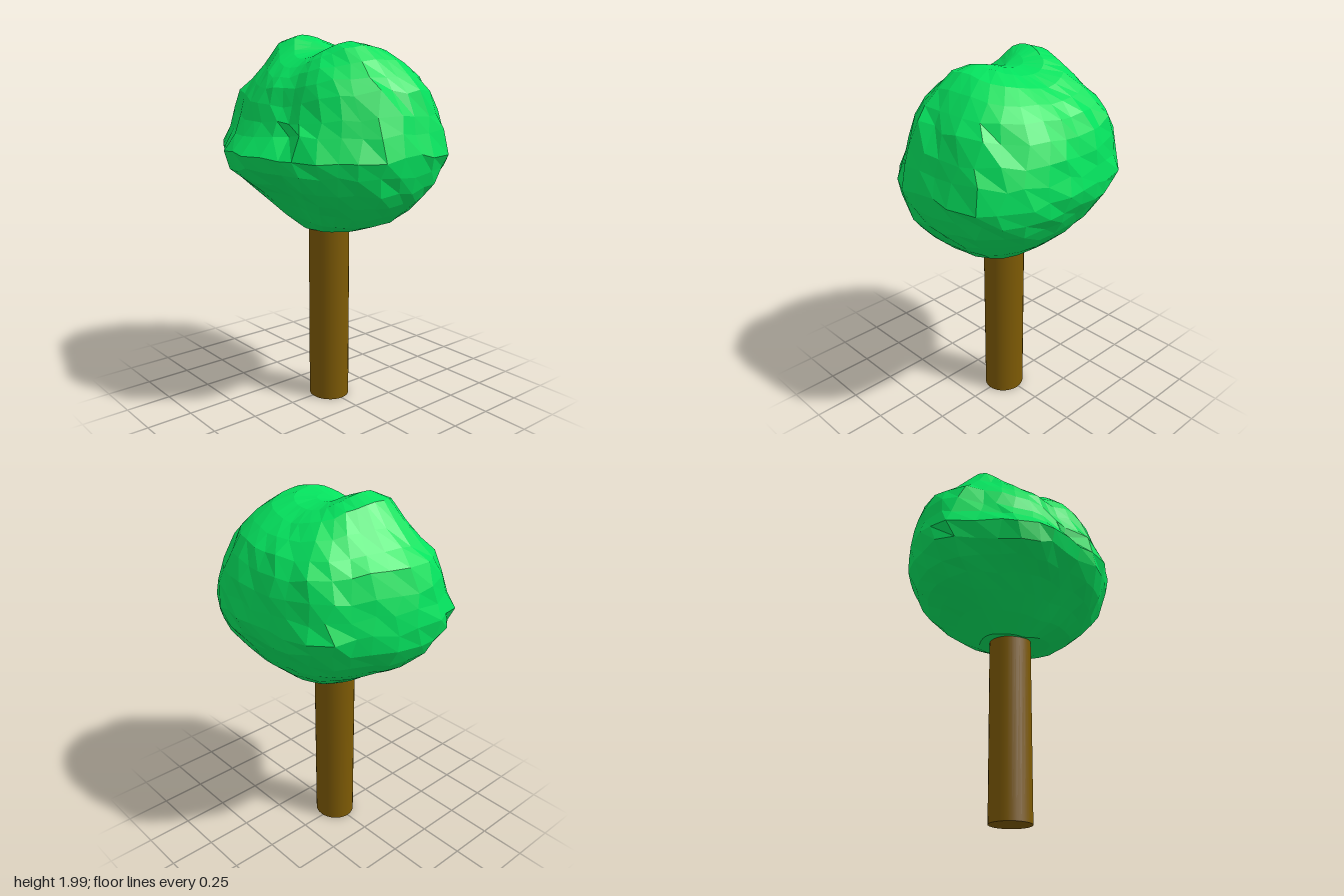
import * as THREE from 'three';

const COLS = 32, ROWS = 16;

// Widest radius of the crown every 20 degrees, from +x towards +z
const OUTLINE = [0.545, 0.57, 0.63, 0.64, 0.59, 0.605, 0.565, 0.555, 0.485,
  0.53, 0.55, 0.54, 0.615, 0.605, 0.58, 0.56, 0.59, 0.555];

// Crown profiles from top to bottom (radius, height), with their widest radius
function profile(widest, points) {
  return new THREE.CatmullRomCurve3(points.map(([r, y]) => new THREE.Vector3(r / widest, y, 0)));
}
const LEFT = profile(0.545, [[0, 1.92], [0.1, 1.93], [0.22, 1.9], [0.33, 1.85], [0.42, 1.79],
  [0.48, 1.7], [0.515, 1.6], [0.535, 1.5], [0.545, 1.4], [0.52, 1.32], [0.46, 1.23],
  [0.4, 1.14], [0.32, 1.06], [0.2, 0.99], [0, 0.98]]);
const FRONT = profile(0.61, [[0, 1.92], [0.1, 1.94], [0.22, 1.955], [0.33, 1.91], [0.42, 1.82],
  [0.5, 1.75], [0.55, 1.62], [0.575, 1.52], [0.61, 1.39], [0.58, 1.29], [0.54, 1.19],
  [0.47, 1.12], [0.4, 1.05], [0.28, 1.0], [0, 0.98]]);
const RIGHT = profile(0.545, [[0, 1.92], [0.1, 1.89], [0.2, 1.86], [0.28, 1.81], [0.34, 1.75],
  [0.38, 1.67], [0.42, 1.58], [0.47, 1.49], [0.545, 1.39], [0.51, 1.31], [0.42, 1.24],
  [0.34, 1.17], [0.25, 1.08], [0.14, 0.98], [0, 0.98]]);
const BACK = profile(0.605, [[0, 1.92], [0.1, 1.965], [0.2, 1.99], [0.31, 1.93], [0.4, 1.81],
  [0.51, 1.75], [0.565, 1.63], [0.585, 1.52], [0.605, 1.42], [0.58, 1.31], [0.51, 1.22],
  [0.44, 1.15], [0.33, 1.1], [0.18, 0.98], [0, 0.98]]);

// Lumps and hollows: centre, reach, push
const LUMPS = [
  [[-0.13, 1.95, -0.2], 0.1, [0, 0.03, 0]],         // back crest
  [[-0.44, 1.5, 0.28], 0.06, [-0.05, 0.01, 0.02]],  // right spur
  [[-0.42, 1.48, 0.15], 0.05, [0.05, 0, -0.02]],    // notch beside the spur
  [[0.36, 1.68, 0.36], 0.09, [-0.04, 0.01, -0.03]], // front left hollow
  [[0.0, 1.73, 0.48], 0.06, [0, 0, -0.03]],         // front notch
  [[-0.4, 1.52, -0.44], 0.06, [-0.03, 0, -0.02]],   // back right spur
].map(([c, reach, push]) => ({
  c: new THREE.Vector3(...c), reach, push: new THREE.Vector3(...push),
}));

function outlineRadius(angle) {
  const n = OUTLINE.length;
  const t = ((angle / (Math.PI * 2) + 1) % 1) * n;
  const i = Math.floor(t) % n;
  return THREE.MathUtils.lerp(OUTLINE[i], OUTLINE[(i + 1) % n], t - Math.floor(t));
}

// Blends the two profiles on either side of a direction
function blendedProfile(angle, t) {
  const c = Math.cos(angle), s = Math.sin(angle);
  const side = (c > 0 ? LEFT : RIGHT).getPoint(t);
  return side.lerp((s > 0 ? FRONT : BACK).getPoint(t), s * s);
}

// Repeatable noise from -1 to 1
function noise(a, b) {
  const s = Math.sin(a * 127.1 + b * 311.7) * 43758.5453;
  return 2 * (s - Math.floor(s)) - 1;
}

function crownGeometry() {
  const geo = new THREE.SphereGeometry(1, COLS, ROWS);
  const pos = geo.attributes.position;
  const p = new THREE.Vector3();
  for (let i = 0; i < pos.count; i++) {
    const col = (i % (COLS + 1)) % COLS;
    const row = Math.floor(i / (COLS + 1));
    // Unevenness fades out towards the poles
    const rough = Math.sin(Math.PI * row / ROWS) ** 2;
    const angle = col / COLS * Math.PI * 2 + 0.05 * rough * noise(col, row);
    const { x: share, y } = blendedProfile(Math.PI - angle, row / ROWS);
    const r = share * outlineRadius(Math.PI - angle) * (1 + 0.018 * rough * noise(col + 40, row));
    p.set(-r * Math.cos(angle), y + 0.016 * rough * noise(col, row + 60), r * Math.sin(angle));
    const start = p.clone();
    for (const { c, reach, push } of LUMPS) {
      p.addScaledVector(push, Math.exp(-start.distanceToSquared(c) / (reach * reach)));
    }
    pos.setXYZ(i, p.x, Math.min(p.y, 2), p.z);
  }
  geo.computeVertexNormals();
  return geo;
}

export function createModel() {
  const tree = new THREE.Group();
  tree.name = 'tree';

  // Faceted leaf crown
  const crown = new THREE.Mesh(crownGeometry(),
    new THREE.MeshStandardMaterial({ color: 0x04e25e, flatShading: true }));
  crown.name = 'crown';

  // Smooth, slightly oval trunk
  const trunk = new THREE.Mesh(new THREE.CylinderGeometry(0.108, 0.108, 1.02, 32),
    new THREE.MeshStandardMaterial({ color: 0x7d5a04 }));
  trunk.name = 'trunk';
  trunk.position.set(0.002, 0.51, 0.013);
  trunk.scale.z = 1.06;

  tree.add(crown, trunk);
  return tree;
}
